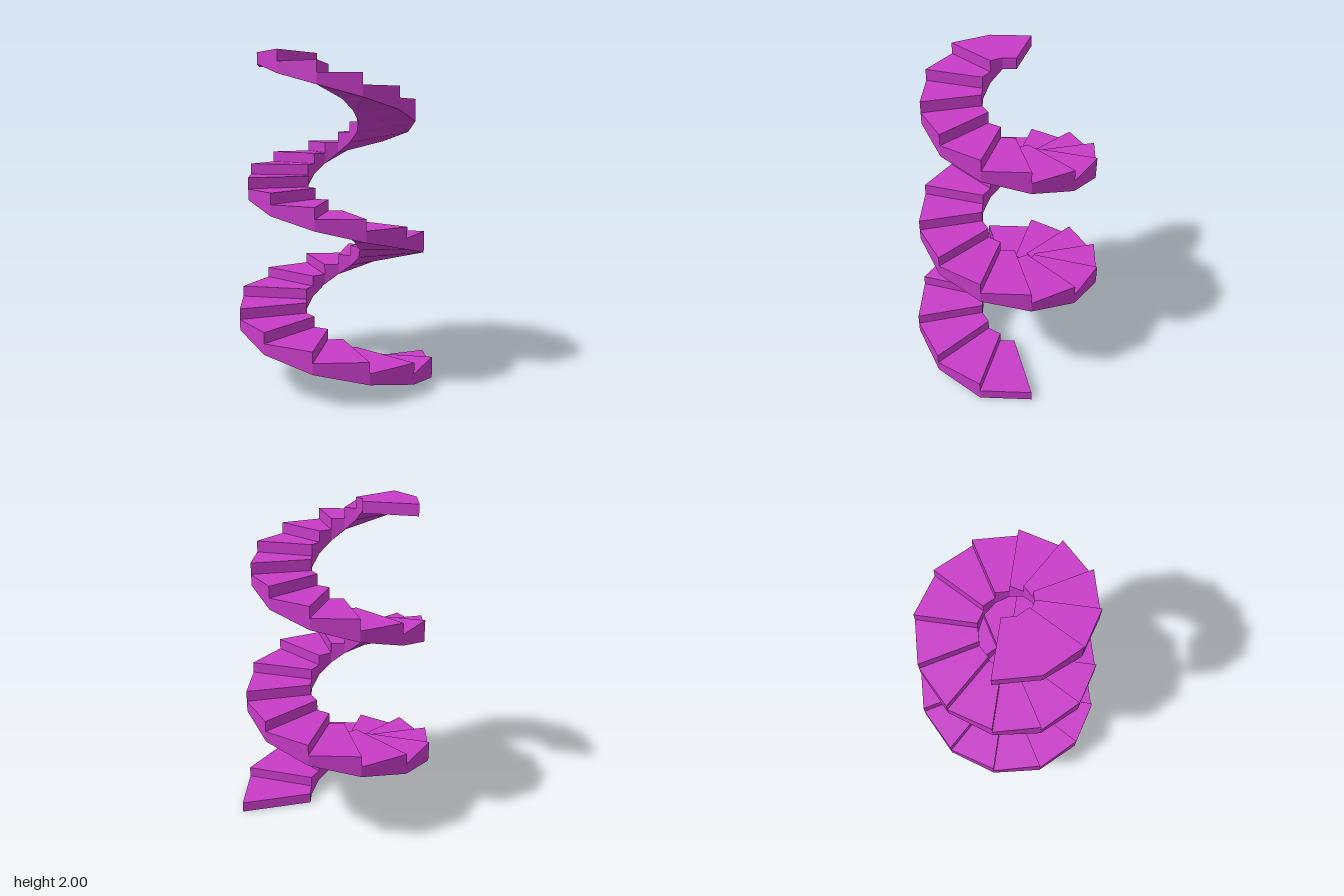
import * as THREE from 'three';

const RISE = 2 / 30;           // height of one step
const SEGMENTS = 31;           // 30 steps, the last one twice as long
const TURN = Math.PI / 6;      // 12 steps per revolution
const LAST = 29;

// Point on the tapering spiral at division k
function point(k, inner, y) {
  const r = inner ? 0.185 - 0.0012 * k : 0.637 - 0.0054 * k;
  const a = TURN * (k + 1);
  return [0.01 + r * Math.cos(a), y, -0.013 + r * Math.sin(a)];
}

// Underside follows the climb, level at both ends
const underside = (k) => RISE * Math.min(Math.max(k - 1, 0), LAST);

function stepGeometry(k) {
  const top = RISE * (Math.min(k, LAST) + 1);
  const lo0 = underside(k), lo1 = underside(k + 1);
  const a = point(k, true, lo0), b = point(k, false, lo0);
  const c = point(k + 1, false, lo1), d = point(k + 1, true, lo1);
  const lift = (p, y) => [p[0], y, p[2]];
  const [A, B, C, D] = [a, b, c, d].map((p) => lift(p, top));

  const pos = [];
  const quad = (p, q, r, s) => pos.push(...p, ...q, ...r, ...p, ...r, ...s);
  quad(A, D, C, B);            // tread
  quad(a, b, c, d);            // underside
  quad(b, B, C, c);            // outer side
  quad(a, d, D, A);            // inner side
  if (k <= LAST) quad(lift(a, top - RISE), A, B, lift(b, top - RISE)); // riser
  if (k === SEGMENTS - 1) quad(d, c, C, D);                           // end face

  const g = new THREE.BufferGeometry();
  g.setAttribute('position', new THREE.Float32BufferAttribute(pos, 3));
  g.computeVertexNormals();
  return g;
}

export function createModel() {
  const model = new THREE.Group();
  model.name = 'spiralStaircase';
  const material = new THREE.MeshStandardMaterial({ color: 0xc83cc8, flatShading: true });
  for (let k = 0; k < SEGMENTS; k++) {
    const step = new THREE.Mesh(stepGeometry(k), material);
    step.name = k <= LAST ? `step${k + 1}` : 'topLanding';
    model.add(step);
  }
  return model;
}
